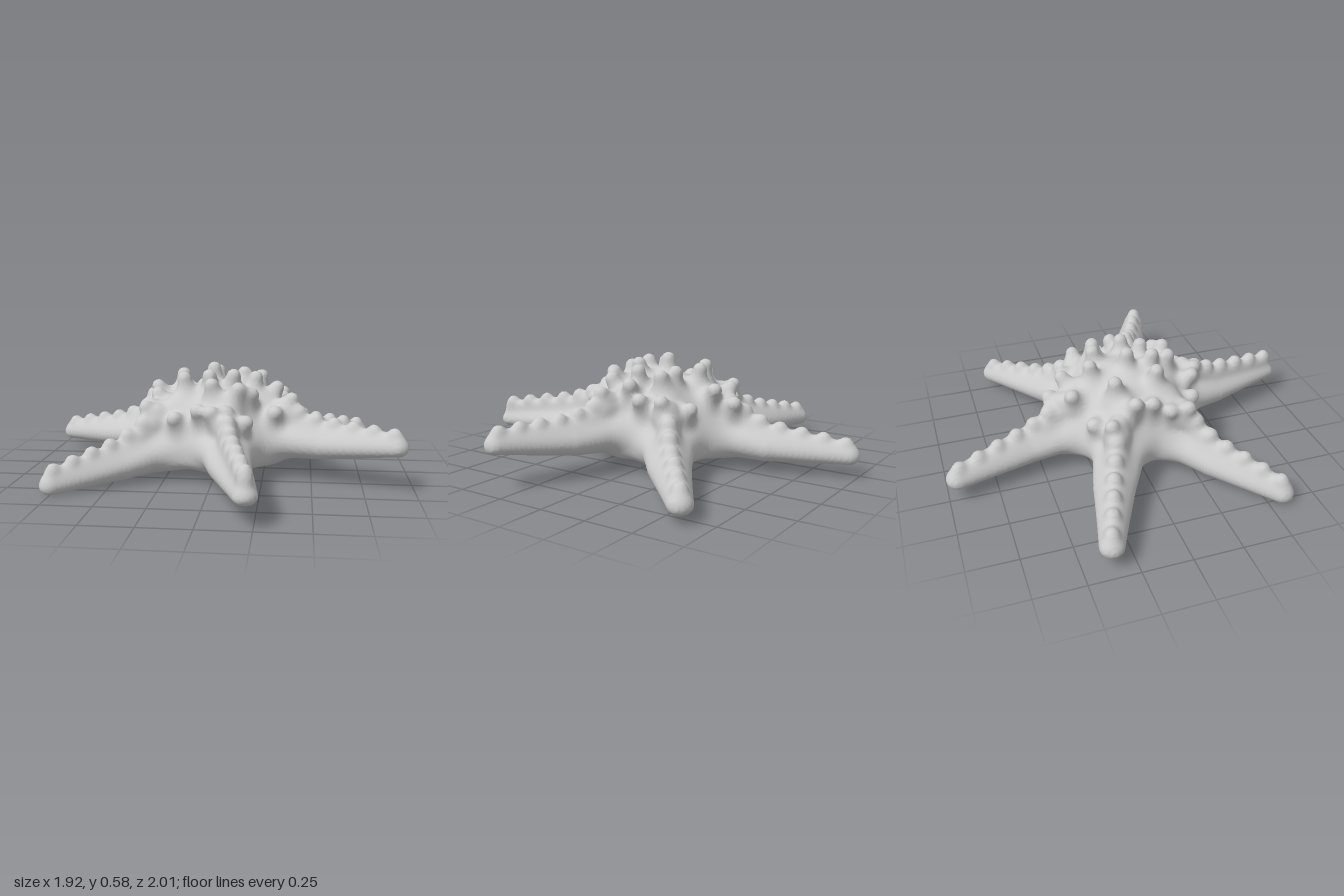
import * as THREE from 'three';

// Arms: tip and middle of the spine (x, z), height of the tip's underside, and extra ridge height
const ARMS = [
  { tip: [-0.22, -0.945], mid: [-0.09, -0.56], low: 0.07, crest: 0.012 },
  { tip: [0.785, -0.595], mid: [0.48, -0.34], low: 0.042, crest: 0.015 },
  { tip: [0.90, 0.355], mid: [0.55, 0.195], low: 0.18, crest: 0.015 },
  { tip: [0.21, 0.945], mid: [0.11, 0.55], low: 0.105, crest: 0.05 },
  { tip: [-0.75, 0.575], mid: [-0.46, 0.335], low: 0.005, crest: 0.025 },
  { tip: [-0.905, -0.36], mid: [-0.55, -0.235], low: 0.065, crest: 0.012 },
];

// Knobs on the disc (x, z)
const KNOBS = [
  [-0.02, -0.19], [-0.02, 0], [0.12, -0.13], [0.19, 0.04], [0.28, 0.03], [0.38, 0.13], [0.3, 0.19],
  [0.17, 0.19], [-0.03, 0.12], [0.08, 0.1], [-0.05, 0.31], [-0.16, 0.11], [-0.31, 0.14], [-0.28, 0.04],
  [-0.18, 0.28], [-0.33, 0.22], [-0.38, -0.18], [-0.26, -0.23], [-0.3, -0.07], [-0.2, -0.11],
  [-0.1, -0.31], [0.03, -0.3], [-0.02, -0.4], [0.22, -0.26], [0.32, -0.2], [0.21, -0.12], [0.3, -0.07],
  [0.03, 0.38], [0.14, 0.34], [0.1, 0.24], [0.0, 0.22],
];

const FLAT = 1.35; // how much wider than tall the arms are

// Smooth union and smooth intersection of two distances
const join = (a, b, k) => {
  const h = Math.max(k - Math.abs(a - b), 0) / k;
  return Math.min(a, b) - h * h * k * 0.25;
};
const clip = (a, b, k) => -join(-a, -b, k);

// Distance to a tapered round bar from a to b; sy squashes it vertically
function bar(x, y, z, { a, b, ra, rb, sy = 1 }) {
  const dx = b[0] - a[0], dy = (b[1] - a[1]) * sy, dz = b[2] - a[2];
  const px = x - a[0], py = (y - a[1]) * sy, pz = z - a[2];
  const len = dx * dx + dy * dy + dz * dz;
  const t = len > 0 ? Math.min(1, Math.max(0, (px * dx + py * dy + pz * dz) / len)) : 0;
  return Math.hypot(px - t * dx, py - t * dy, pz - t * dz) - (ra + (rb - ra) * t);
}

const mix = (a, b, t) => a.map((v, i) => v + (b[i] - v) * t);

// Each arm: flattened lower bars, a narrow ridge above, a groove below and beads on top
const arms = ARMS.map(({ tip, mid, low, crest }) => {
  const at = ([x, z], y) => [x, y, z];
  const midLow = 0.05 * 0.45 + low * 0.55;
  const length = Math.hypot(...mid);
  const root = mid.map((v) => (v * 0.25) / length);
  const core = [at([0, 0], 0.09 + 0.18 / FLAT), at(mid, midLow + 0.105 / FLAT), at(tip, low + 0.057 / FLAT)];
  const ridge = [at(root, 0.36), at(mid, midLow + 0.13 + crest), at(tip, low + 0.065 + crest)];
  const floor = [at([0, 0], 0.055), at(mid, midLow - 0.012), at(tip, low - 0.015)];
  const beads = [];
  for (let i = 0; i < 7; i++) {
    const s = 0.35 + i * 0.27; // 1 is the middle, 2 the tip
    const p = s < 1 ? mix(ridge[0], ridge[1], s) : mix(ridge[1], ridge[2], s - 1);
    const r = 0.042 - 0.005 * s;
    p[1] += 0.057 - 0.013 * s;
    beads.push({ a: p, b: p, ra: r, rb: r, blend: 0.025 });
  }
  return {
    lower: [
      { a: core[0], b: core[1], ra: 0.18, rb: 0.105, sy: FLAT },
      { a: core[1], b: core[2], ra: 0.105, rb: 0.057, sy: FLAT },
    ],
    ridge: [
      { a: ridge[0], b: ridge[1], ra: 0.06, rb: 0.046 },
      { a: ridge[1], b: ridge[2], ra: 0.046, rb: 0.034 },
    ],
    groove: [
      { a: floor[0], b: floor[1], ra: 0.01, rb: 0.014 },
      { a: floor[1], b: floor[2], ra: 0.014, rb: 0.004 },
    ],
    beads,
  };
});

// Domed disc joined with the six arms
function smoothBody(x, y, z) {
  const q = Math.hypot(x / 0.37, (y - 0.15) / 0.335, z / 0.37);
  let d = clip((q - 1) * 0.34, 0.075 - y, 0.06);
  let groove = 1;
  for (const arm of arms) {
    const lower = Math.min(bar(x, y, z, arm.lower[0]), bar(x, y, z, arm.lower[1]));
    const ridge = Math.min(bar(x, y, z, arm.ridge[0]), bar(x, y, z, arm.ridge[1]));
    d = join(d, join(lower, ridge, 0.06), 0.09);
    groove = Math.min(groove, bar(x, y, z, arm.groove[0]), bar(x, y, z, arm.groove[1]));
  }
  return clip(d, -groove, 0.05);
}

// Stand a knob on the disc, leaning along the surface normal
function makeKnob([x, z]) {
  let y = 0.7;
  while (y > 0 && smoothBody(x, y, z) > 0) y -= 0.004;
  const e = 0.01;
  const n = new THREE.Vector3(
    smoothBody(x + e, y, z) - smoothBody(x - e, y, z),
    smoothBody(x, y + e, z) - smoothBody(x, y - e, z),
    smoothBody(x, y, z + e) - smoothBody(x, y, z - e),
  ).normalize();
  n.y += 0.4;
  n.normalize();
  const h = Math.hypot(x, z) < 0.32 ? 0.068 : 0.045;
  const [a, b] = [-0.02, h].map((s) => [x + n.x * s, y + n.y * s, z + n.z * s]);
  return { a, b, ra: 0.05, rb: 0.037, blend: 0.055 };
}
const bumps = [...KNOBS.map(makeKnob), ...arms.flatMap((arm) => arm.beads)];

// Whole skin: body with knobs and beads blended in
function skin(x, y, z) {
  let d = smoothBody(x, y, z);
  if (Math.abs(d) > 0.16) return d;
  for (const bump of bumps) {
    if (Math.abs(x - bump.a[0]) < 0.2 && Math.abs(z - bump.a[2]) < 0.2) d = join(d, bar(x, y, z, bump), bump.blend);
  }
  return d;
}

// Turn a distance rule into a smooth mesh: one vertex per crossed cell, one quad per crossed edge
function surfaceOf(field, min, max, cell) {
  const n = min.map((m, i) => Math.ceil((max[i] - m) / cell) + 1);
  const step = [1, n[0], n[0] * n[1]];
  const values = new Float32Array(n[0] * n[1] * n[2]);
  const vertexOf = new Int32Array(values.length).fill(-1);
  const eachCell = (from, trim, visit) => {
    for (let k = from; k < n[2] - trim; k++)
      for (let j = from; j < n[1] - trim; j++)
        for (let i = from; i < n[0] - trim; i++) visit(i + j * step[1] + k * step[2], [i, j, k]);
  };
  eachCell(0, 0, (c, p) => {
    values[c] = field(...p.map((v, i) => min[i] + v * cell));
  });

  const positions = [], indices = [];
  eachCell(0, 1, (c, p) => {
    const sum = [0, 0, 0];
    let count = 0;
    for (let corner = 0; corner < 8; corner++) {
      const bits = [corner & 1, (corner >> 1) & 1, corner >> 2];
      const here = c + bits[0] + bits[1] * step[1] + bits[2] * step[2];
      for (let axis = 0; axis < 3; axis++) {
        if (bits[axis]) continue;
        const va = values[here], vb = values[here + step[axis]];
        if (va < 0 === vb < 0) continue;
        for (let i = 0; i < 3; i++) sum[i] += bits[i] + (i === axis ? va / (va - vb) : 0);
        count++;
      }
    }
    if (!count) return;
    vertexOf[c] = positions.length / 3;
    positions.push(...p.map((v, i) => min[i] + (v + sum[i] / count) * cell));
  });
  eachCell(1, 1, (c) => {
    for (let axis = 0; axis < 3; axis++) {
      const inside = values[c] < 0;
      if (inside === values[c + step[axis]] < 0) continue;
      const u = step[(axis + 1) % 3], v = step[(axis + 2) % 3];
      const q = [c, c - u, c - u - v, c - v].map((id) => vertexOf[id]);
      if (!inside) q.reverse();
      indices.push(q[0], q[1], q[2], q[0], q[2], q[3]);
    }
  });

  const geometry = new THREE.BufferGeometry();
  geometry.setAttribute('position', new THREE.Float32BufferAttribute(positions, 3));
  geometry.setIndex(indices);
  return geometry;
}

export function createModel() {
  const geometry = surfaceOf(skin, [-1.05, -0.06, -1.05], [1.05, 0.7, 1.05], 0.0125);

  // Centre on the origin and stand on the ground
  geometry.computeBoundingBox();
  const { min, max } = geometry.boundingBox;
  geometry.translate(-(min.x + max.x) / 2, -min.y, -(min.z + max.z) / 2);
  geometry.computeVertexNormals();

  const body = new THREE.Mesh(geometry, new THREE.MeshStandardMaterial({ color: 0xcccccc }));
  body.name = 'starfishBody';
  const group = new THREE.Group();
  group.name = 'starfish';
  group.add(body);
  return group;
}
